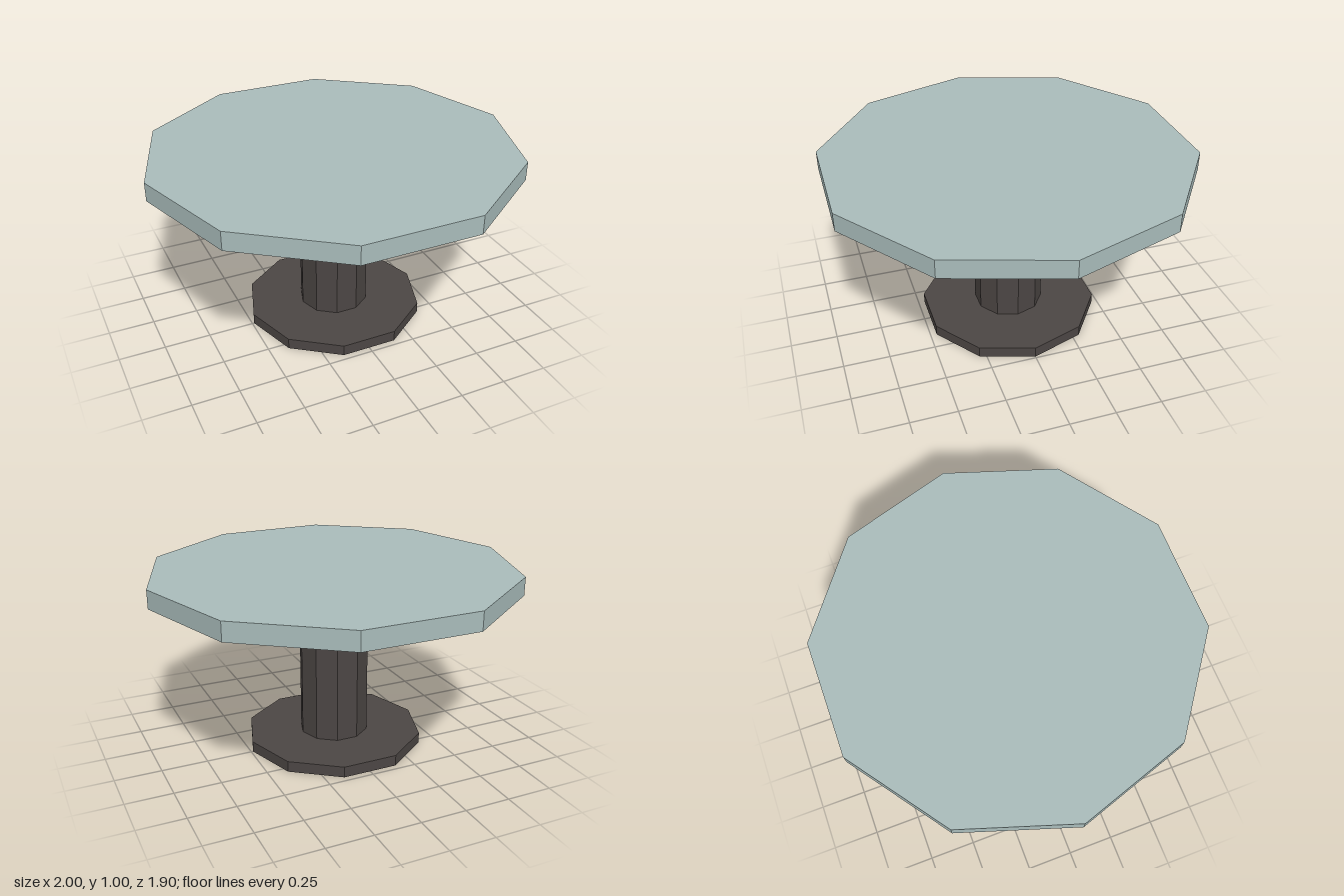
import * as THREE from 'three';

const SIDES = 10;
const START = Math.PI / 2; // corners lie on the x axis

const paint = (color, flatShading = true) => new THREE.MeshStandardMaterial({ color, flatShading });

function addPart(group, name, geometry, material, y = 0) {
  const mesh = new THREE.Mesh(geometry, material);
  mesh.name = name;
  mesh.position.y = y;
  group.add(mesh);
}

function prism(radius, height, open = false) {
  return new THREE.CylinderGeometry(radius, radius, height, SIDES, 1, open, START);
}

function lathe(points) {
  return new THREE.LatheGeometry(points.map(([r, y]) => new THREE.Vector2(r, y)), SIDES, START);
}

// Flat underside whose normals lean outwards near the rim for a soft edge
function softUnderside(radius) {
  const geometry = lathe([[0, 0], [radius * 0.6, 0], [radius, 0]]);
  const { position, normal } = geometry.attributes;
  const n = new THREE.Vector3();
  for (let i = 0; i < position.count; i++) {
    n.set(position.getX(i), 0, position.getZ(i));
    const atRim = n.length() > radius * 0.9;
    n.normalize().multiplyScalar(atRim ? 0.7 : 0).setY(-1).normalize();
    normal.setXYZ(i, n.x, n.y, n.z);
  }
  return geometry;
}

export function createModel() {
  const table = new THREE.Group();
  table.name = 'pedestalTable';
  const pale = paint(0xa9bcbb);
  const dark = paint(0x4c4644);

  // Ten-sided top and column
  addPart(table, 'tabletop', prism(1, 0.1), pale, 0.95);
  addPart(table, 'column', prism(0.19, 0.84, true), dark, 0.48);

  // Foot plate: crisp rim and top, softly shaded underside
  const foot = new THREE.Group();
  foot.name = 'foot';
  addPart(foot, 'footPlate', lathe([[0.49, 0], [0.49, 0.06], [0, 0.06]]), dark);
  addPart(foot, 'footUnderside', softUnderside(0.49), paint(0x4c4644, false));
  table.add(foot);

  return table;
}
